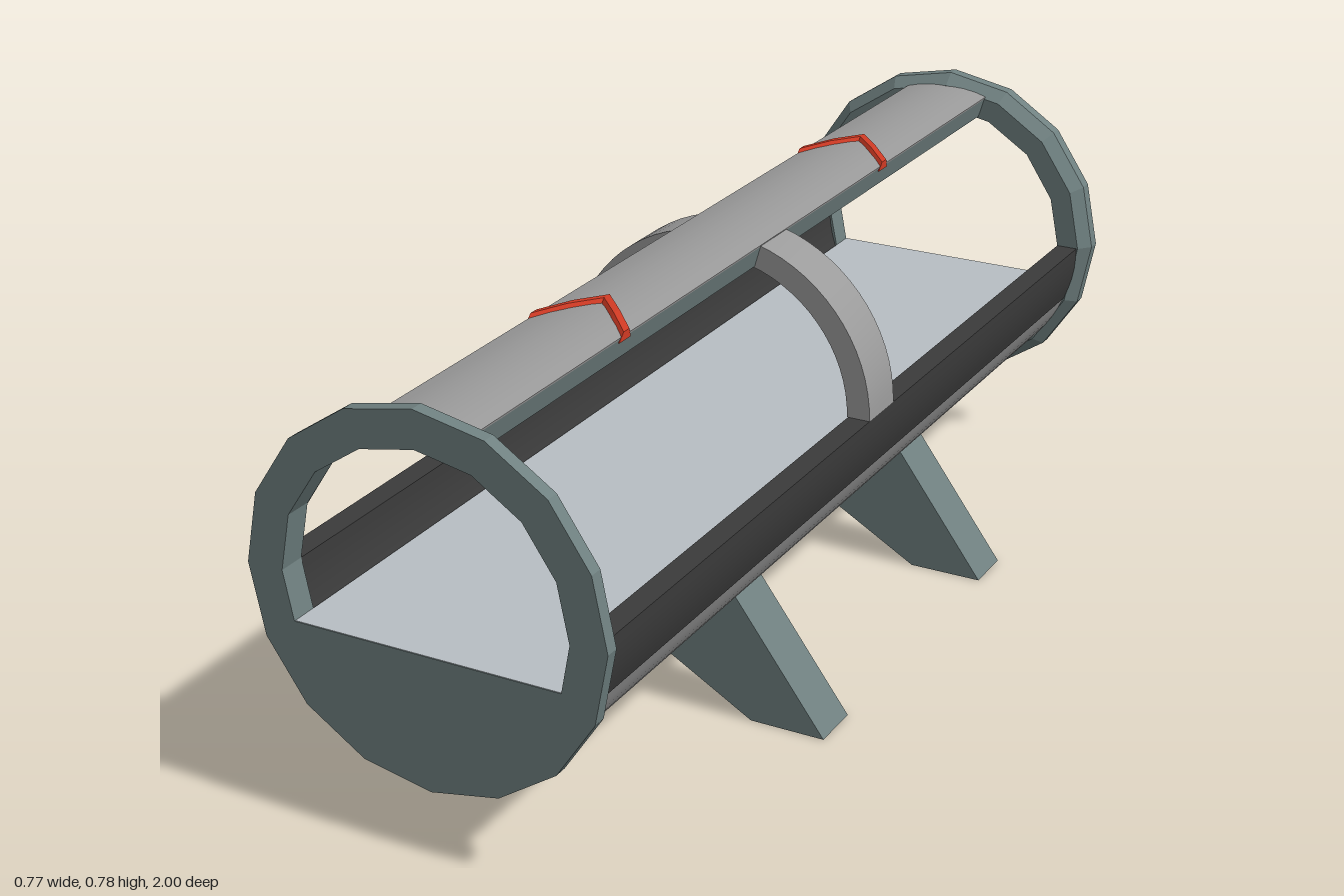
import * as THREE from 'three';
import { toCreasedNormals } from 'three/addons/utils/BufferGeometryUtils.js';

const CY = 0.448; // height of the tube axis
const R = 0.304, R_IN = 0.262;
const rad = THREE.MathUtils.degToRad;

function material(name, color) {
  const m = new THREE.MeshStandardMaterial({ color });
  m.name = name;
  return m;
}

export function createModel() {
  const model = new THREE.Group();
  model.name = 'tubeCorridor';
  const teal = material('tealGrey', 0x6f8080);
  const grey = material('midGrey', 0x9b9b9b);
  const dark = material('darkGrey', 0x3b3b3b);
  const pale = material('paleFloor', 0xb8bfc4);
  const red = material('red', 0xd03a24);

  const add = (name, geometry, mat) => {
    const mesh = new THREE.Mesh(geometry, mat);
    mesh.name = name;
    model.add(mesh);
    return mesh;
  };

  // Curved wall between two radii and two angles, centred along z
  function arcWall(name, r0, r1, a0, a1, length, mat) {
    const n = Math.max(4, Math.ceil((a1 - a0) / 5));
    const pts = [];
    const put = (r, t) => {
      const a = rad(a0 + (a1 - a0) * t);
      pts.push(new THREE.Vector2(Math.cos(a) * r, Math.sin(a) * r));
    };
    for (let i = 0; i <= n; i++) put(r1, i / n);
    for (let i = n; i >= 0; i--) put(r0, i / n);
    const g = new THREE.ExtrudeGeometry(new THREE.Shape(pts), { depth: length, bevelEnabled: false });
    g.translate(0, CY, -length / 2);
    return add(name, toCreasedNormals(g, 0.6), mat);
  }

  // Tube body: lower hull, dark side rails, roof strip and middle arch
  const L = 1.92;
  arcWall('lowerHull', R_IN, R - 0.001, 201.8, 338.2, L, grey);
  arcWall('leftRail', R_IN, R, -21.8, 0, L, dark);
  arcWall('rightRail', R_IN, R, 180, 201.8, L, dark);
  arcWall('roofBeam', R_IN, R - 0.002, 73.4, 106.6, L, teal);
  arcWall('roofSkin', R - 0.002, R + 0.002, 73.4, 106.6, L, grey);
  arcWall('middleArch', 0.26, R, 0, 180, 0.1, grey);

  // Floor
  const floor = add('floor', new THREE.BoxGeometry(0.488, 0.009, 1.998), pale);
  floor.position.y = 0.3585;

  // Sixteen-sided end rings with a filled lower part and a tapered inner rim
  const polar = (r, k) => new THREE.Vector2(Math.cos(k * Math.PI / 8) * r, Math.sin(k * Math.PI / 8) * r);
  const outline = [], hole = [new THREE.Vector2(0.245, -0.086)];
  for (let k = 0; k < 16; k++) outline.push(polar(0.328, k));
  for (let k = 0; k <= 8; k++) hole.push(polar(R_IN, k));
  hole.push(new THREE.Vector2(-0.245, -0.086));
  const ringShape = new THREE.Shape(outline);
  ringShape.holes.push(new THREE.Path(hole));
  const ringGeo = new THREE.ExtrudeGeometry(ringShape, { depth: 0.05, steps: 2, bevelEnabled: false });
  const p = ringGeo.attributes.position;
  for (let i = 0; i < p.count; i++) {
    const x = p.getX(i), y = p.getY(i);
    if (p.getZ(i) < 0.001 && Math.hypot(x, y) > 0.3) p.setXY(i, x * 0.935, y * 0.935);
  }
  ringGeo.computeVertexNormals();
  for (const front of [true, false]) {
    const ring = add(front ? 'frontRing' : 'backRing', ringGeo, teal);
    ring.position.set(0, CY, front ? 0.95 : -0.95);
    if (!front) ring.rotation.y = Math.PI;
  }

  // Splayed legs
  const half = [[0.385, 0], [0.2, 0.253], [0.1, 0.26], [0, 0.2], [0, 0.141], [0.245, 0]];
  for (const side of [1, -1]) {
    const shape = new THREE.Shape(half.map(([x, y]) => new THREE.Vector2(x * side, y)));
    const g = new THREE.ExtrudeGeometry(shape, { depth: 0.096, bevelEnabled: false });
    for (const z of [0.337, -0.337]) {
      add(side > 0 ? 'leftLeg' : 'rightLeg', g, teal).position.z = z - 0.048;
    }
  }

  // Raised chevrons following the roof curve, pointing to the back
  const section = [[0, -0.008], [0.004, 0.007], [0.022, 0.007], [0.038, -0.008]];
  const pos = [], idx = [], xs = [-0.088, -0.044, 0, 0.044, 0.088];
  xs.forEach((x, i) => {
    const y = CY + Math.sqrt((R + 0.002) ** 2 - x * x);
    section.forEach(([dz, dy], j) => {
      pos.push(x, y + dy, dz + Math.abs(x) * 1);
      const a = i * 4 + j, b = i * 4 + (j + 1) % 4;
      if (i < xs.length - 1) idx.push(a, b, a + 4, b, b + 4, a + 4);
    });
  });
  const e = (xs.length - 1) * 4;
  idx.push(0, 2, 1, 0, 3, 2, e, e + 1, e + 2, e, e + 2, e + 3);
  const smooth = new THREE.BufferGeometry();
  smooth.setAttribute('position', new THREE.Float32BufferAttribute(pos, 3));
  smooth.setIndex(idx);
  const chevron = smooth.toNonIndexed();
  chevron.computeVertexNormals();
  for (const z of [-0.56, 0.42]) add('chevron', chevron, red).position.z = z;

  return model;
}
